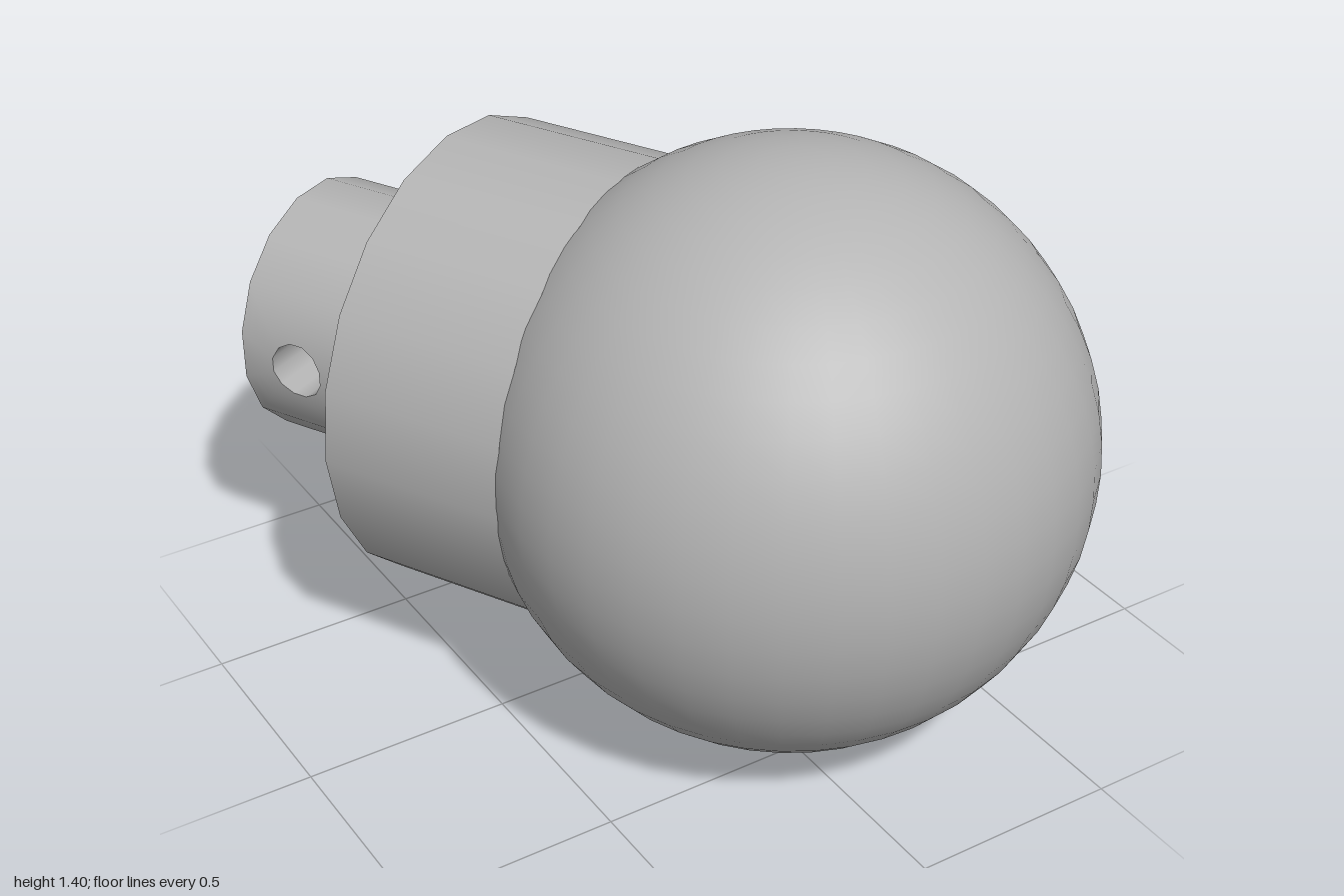
import * as THREE from 'three';

const R = 0.313;            // neck radius
const S0 = 0.87, S1 = 1.303; // neck start and end along the axis
const HOLE_S = 1.145, HOLE_R = 0.07;
const HALF = Math.PI * 3 / 16; // half angle of the wall panel around each hole

// Wall panel around a hole: rings blend from a round rim to a square border, wrapped on the neck
function holePanel(theta0) {
  const rings = 4, n = 12, pos = [], nor = [], idx = [];
  const border = k => {
    const f = -1 + 2 * (k % 3) / 3;
    return [[1, f], [-f, 1], [-1, -f], [f, -1]][Math.floor(k / 3) % 4];
  };
  for (let i = 0; i <= rings; i++) {
    for (let k = 0; k < n; k++) {
      const a = -Math.PI / 4 + k * Math.PI / 6, t = i / rings;
      const [bx, by] = border(k);
      const u = THREE.MathUtils.lerp(Math.cos(a) * HOLE_R / R, bx * HALF, t);
      const edge = by > 0 ? S1 - HOLE_S : HOLE_S - S0;
      const v = THREE.MathUtils.lerp(Math.sin(a) * HOLE_R, by * edge, t);
      const th = theta0 + u;
      pos.push(R * Math.sin(th), HOLE_S + v, R * Math.cos(th));
      nor.push(Math.sin(th), 0, Math.cos(th));
      if (i < rings) {
        const p = i * n + k, q = i * n + (k + 1) % n;
        idx.push(p, p + n, q, q, p + n, q + n);
      }
    }
  }
  const g = new THREE.BufferGeometry();
  g.setAttribute('position', new THREE.Float32BufferAttribute(pos, 3));
  g.setAttribute('normal', new THREE.Float32BufferAttribute(nor, 3));
  g.setIndex(idx);
  return g;
}

// Cross tunnel whose ends follow the curved neck wall
function tunnelGeometry() {
  const g = new THREE.CylinderGeometry(HOLE_R, HOLE_R, 2, 12, 1, true, Math.PI / 12);
  g.rotateZ(Math.PI / 2);
  const p = g.attributes.position;
  for (let i = 0; i < p.count; i++) {
    const a = p.getZ(i) / R;
    p.setXYZ(i, Math.sign(p.getX(i)) * R * Math.cos(a), p.getY(i) + HOLE_S, R * Math.sin(a));
  }
  return g;
}

export function createModel() {
  const grey = new THREE.MeshStandardMaterial({ color: 0xb4b4b4 });
  const inner = new THREE.MeshStandardMaterial({ color: 0xb4b4b4, side: THREE.BackSide });
  grey.name = 'grey';
  inner.name = 'grey inside';

  const model = new THREE.Group();
  model.name = 'ballFitting';
  model.position.set(0.1, 0.7, 0.3);
  model.rotation.y = 0.486;

  const add = (name, geometry, parent, material = grey) => {
    const mesh = new THREE.Mesh(geometry, material);
    mesh.name = name;
    parent.add(mesh);
    return mesh;
  };

  add('ball', new THREE.SphereGeometry(0.7, 40, 28), model);

  // Collar and neck run along local y, turned to point backwards
  const stem = new THREE.Group();
  stem.name = 'stem';
  stem.rotation.x = -Math.PI / 2;
  model.add(stem);

  const collar = new THREE.CylinderGeometry(0.559, 0.559, 0.46, 20, 1, false, -0.05);
  add('collar', collar.translate(0, 0.65, 0), stem);

  const neck = new THREE.Group();
  neck.name = 'neck';
  stem.add(neck);
  [Math.PI / 2, Math.PI * 1.5].forEach(theta => {
    add('holePanel', holePanel(theta), neck);
    const wall = new THREE.CylinderGeometry(R, R, S1 - S0, 5, 1, true, theta + HALF, Math.PI - 2 * HALF);
    add('neckWall', wall.translate(0, (S0 + S1) / 2, 0), neck);
  });
  const end = new THREE.CircleGeometry(R, 16, Math.PI / 16).rotateX(-Math.PI / 2);
  add('neckEnd', end.translate(0, S1, 0), neck);
  add('crossHole', tunnelGeometry(), neck, inner);

  const root = new THREE.Group();
  root.name = 'model';
  root.add(model);
  return root;
}
